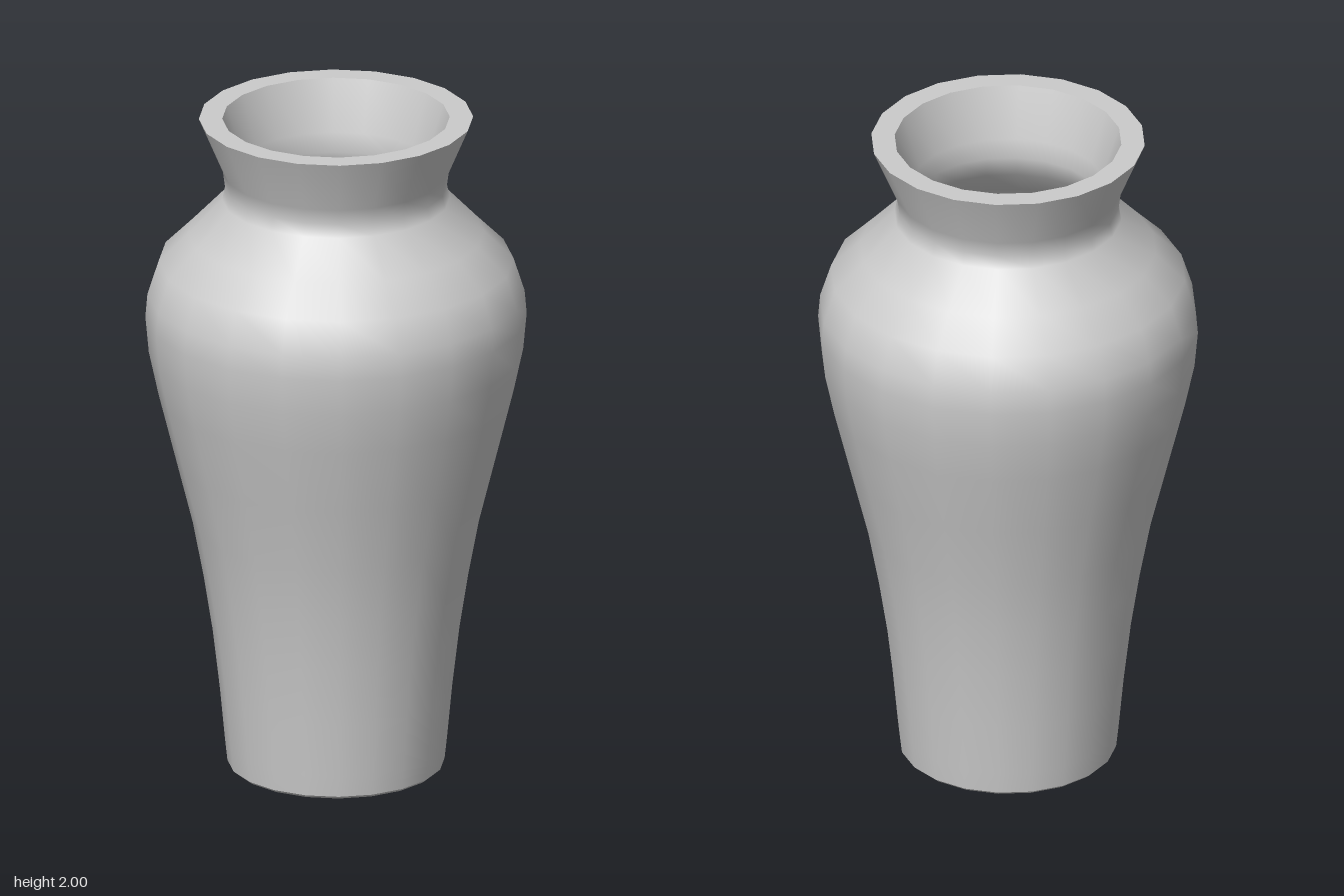
import * as THREE from 'three';

const SIDES = 20;

export function createModel() {
  const vase = new THREE.Group();
  vase.name = 'vase';
  const material = new THREE.MeshStandardMaterial({ color: 0xcccccc });

  // Each surface is its own lathe, so the edges between them stay sharp
  const turn = (name, profile) => {
    const points = profile.map(([r, y]) => new THREE.Vector2(r, y));
    const mesh = new THREE.Mesh(new THREE.LatheGeometry(points, SIDES), material);
    mesh.name = name;
    vase.add(mesh);
  };

  // Flat foot with a small rounded edge
  turn('base', [[0, 0], [0.27, 0], [0.305, 0.006], [0.315, 0.015]]);

  // Outside: tapering body, round shoulder, narrow neck, flared lip
  turn('outerWall', [
    [0.315, 0.015], [0.322, 0.08], [0.337, 0.24], [0.358, 0.42], [0.383, 0.58],
    [0.415, 0.75], [0.465, 0.95], [0.515, 1.15], [0.543, 1.28], [0.553, 1.39],
    [0.547, 1.46], [0.515, 1.56], [0.43, 1.645], [0.33, 1.75], [0.322, 1.79],
    [0.328, 1.835], [0.398, 2],
  ]);

  // Flat ring on top
  turn('rim', [[0.398, 2], [0.33, 2]]);

  // Inside: follows the outer wall down to a rounded floor
  turn('innerWall', [
    [0.33, 2], [0.28, 1.85], [0.275, 1.79], [0.285, 1.73], [0.38, 1.63],
    [0.465, 1.54], [0.495, 1.46], [0.5, 1.39], [0.49, 1.28], [0.465, 1.15],
    [0.415, 0.95], [0.365, 0.75], [0.333, 0.58], [0.308, 0.42], [0.287, 0.24],
    [0.27, 0.1], [0.24, 0.06], [0.15, 0.05], [0, 0.05],
  ]);

  return vase;
}
